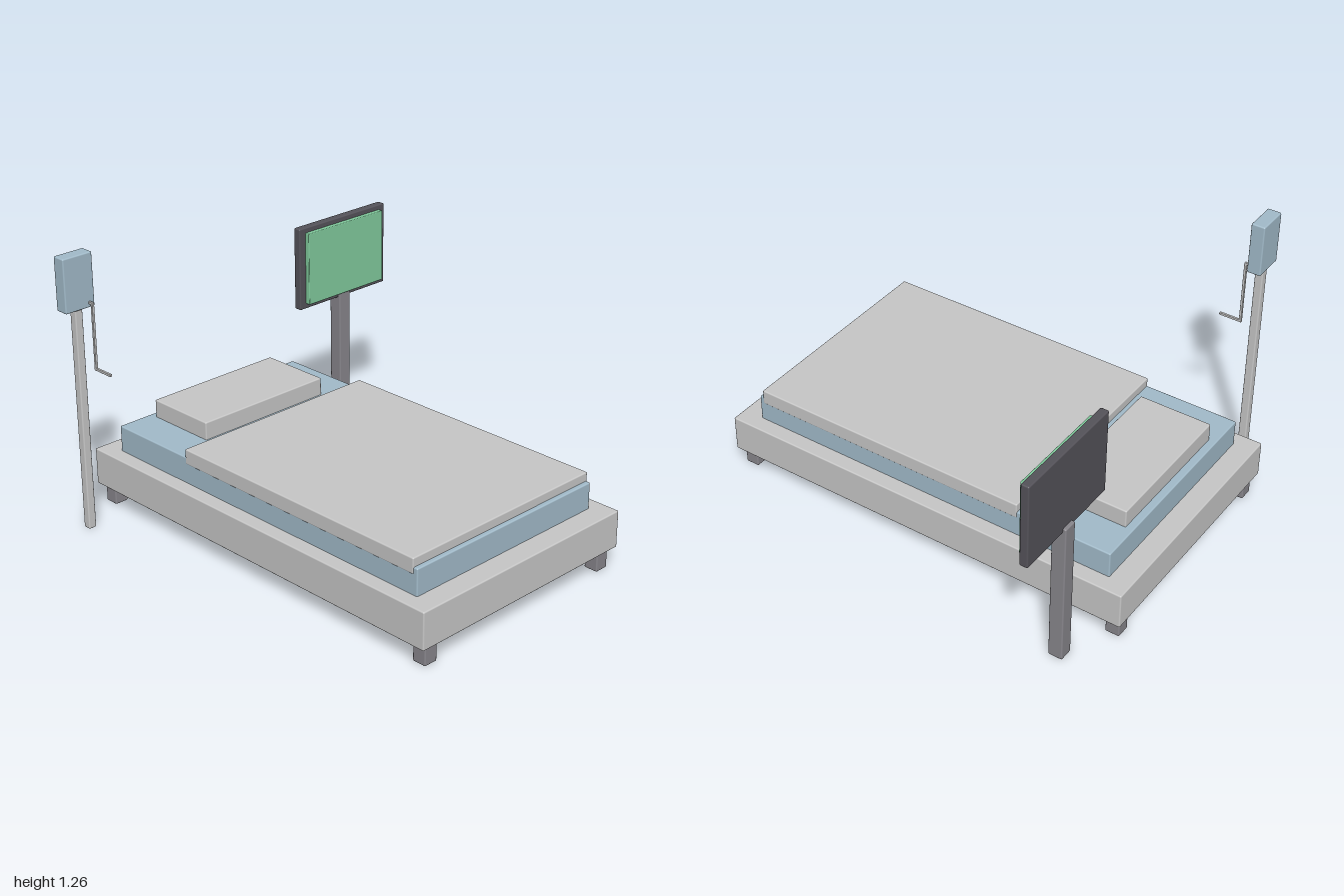
import * as THREE from 'three';
import { RoundedBoxGeometry } from 'three/addons/geometries/RoundedBoxGeometry.js';

function material(name, color) {
  const m = new THREE.MeshStandardMaterial({ color });
  m.name = name;
  return m;
}

export function createModel() {
  const lightGrey = material('light grey', 0xc8c8c8);
  const blue = material('pale blue', 0xa3bccb);
  const midGrey = material('mid grey', 0x88868c);
  const darkGrey = material('dark grey', 0x55535a);
  const green = material('screen green', 0x82cc9e);

  const model = new THREE.Group();
  model.name = 'hospitalBed';

  const group = (name) => {
    const g = new THREE.Group();
    g.name = name;
    model.add(g);
    return g;
  };

  // Softly bevelled box given by its [min, max] extents on each axis
  const box = (parent, name, mat, x, y, z, bevel = 0.006) => {
    const size = [x, y, z].map(([a, b]) => b - a);
    const mid = [x, y, z].map(([a, b]) => (a + b) / 2);
    const mesh = new THREE.Mesh(new RoundedBoxGeometry(...size, 2, bevel), mat);
    mesh.name = name;
    mesh.position.set(...mid);
    parent.add(mesh);
    return mesh;
  };

  // Bed: base, mattress, blanket, pillow and four feet
  const bed = group('bed');
  box(bed, 'base', lightGrey, [-0.685, 0.485], [0.09, 0.26], [-1, 1]);
  box(bed, 'mattress', blue, [-0.617, 0.413], [0.25, 0.38], [-0.9, 0.9]);
  box(bed, 'blanket', lightGrey, [-0.62, 0.416], [0.35, 0.42], [-0.455, 0.88]);
  box(bed, 'pillow', lightGrey, [-0.445, 0.24], [0.375, 0.462], [-0.865, -0.522]);
  for (const x of [-0.62, 0.416]) {
    for (const z of [-0.947, 0.947]) {
      box(bed, 'foot', midGrey, [x - 0.033, x + 0.033], [0, 0.095], [z - 0.033, z + 0.033]);
    }
  }

  // Monitor on a post
  const monitor = group('monitor');
  box(monitor, 'monitorPost', midGrey, [0.624, 0.69], [0, 0.69], [-0.861, -0.795]);
  box(monitor, 'monitorFrame', darkGrey, [0.384, 0.93], [0.668, 1.062], [-0.846, -0.808]);
  box(monitor, 'screen', green, [0.42, 0.897], [0.692, 1.038], [-0.815, -0.785], 0.004);

  // Drip stand with fluid bag and bent tube
  const drip = group('dripStand');
  box(drip, 'dripPole', lightGrey, [-0.88, -0.842], [0, 1.03], [-0.848, -0.81]);
  box(drip, 'fluidBag', blue, [-0.935, -0.787], [1.02, 1.26], [-0.861, -0.798]);
  const tubeX = [-0.82, -0.808];
  box(drip, 'tubeTop', lightGrey, tubeX, [1.036, 1.048], [-0.805, -0.773], 0.003);
  box(drip, 'tubeDrop', lightGrey, tubeX, [0.742, 1.048], [-0.785, -0.773], 0.003);
  box(drip, 'tubeEnd', lightGrey, tubeX, [0.742, 0.754], [-0.785, -0.678], 0.003);

  return model;
}
